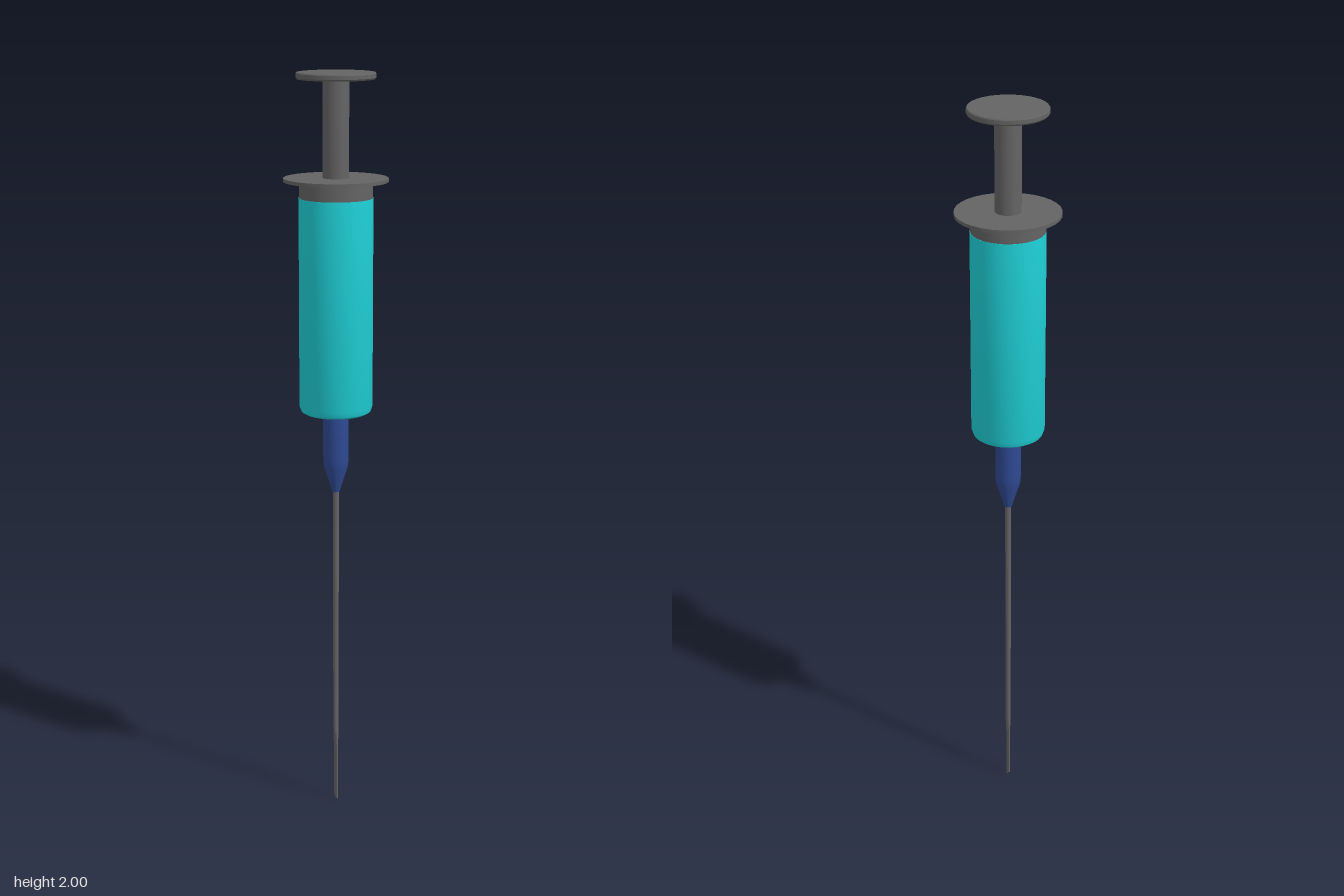
import * as THREE from 'three';
import { toCreasedNormals } from 'three/addons/utils/BufferGeometryUtils.js';

const GREY = 0x646464, TEAL = 0x1fd3da, BLUE = 0x2f4a94;

export function createModel() {
  const model = new THREE.Group();
  model.name = 'syringe';

  const add = (name, geometry, color) => {
    const mesh = new THREE.Mesh(
      toCreasedNormals(geometry, 0.5),
      new THREE.MeshStandardMaterial({ color })
    );
    mesh.name = name;
    model.add(mesh);
  };

  // Turned part from [radius, y] pairs, listed bottom to top
  const turned = (name, profile, color) =>
    add(name, new THREE.LatheGeometry(profile.map(([r, y]) => new THREE.Vector2(r, y)), 32), color);

  // Plunger: thumb pad and rod
  turned('thumbPad', [[0, 1.983], [0.1, 1.983], [0.103, 1.987], [0.103, 1.997], [0.101, 2], [0, 2]], GREY);
  turned('plungerRod', [[0.034, 1.73], [0.034, 1.985]], GREY);

  // Finger flange and the collar below it
  turned('fingerFlange', [[0, 1.724], [0.136, 1.724], [0.136, 1.733], [0, 1.733]], GREY);
  turned('collar', [[0.096, 1.68], [0.096, 1.726]], GREY);

  // Barrel with a rounded lower edge
  turned('barrel', [[0, 1.114], [0.084, 1.114], [0.092, 1.119], [0.097, 1.134], [0.097, 1.682], [0, 1.682]], TEAL);

  // Needle hub tapering to the needle
  turned('needleHub', [[0, 0.895], [0.01, 0.895], [0.014, 0.91], [0.032, 0.965], [0.034, 0.985], [0.034, 1.116]], BLUE);

  // Needle, flattened front to back near its slanted tip
  const needle = new THREE.CylinderGeometry(0.008, 0.007, 0.9, 16, 18);
  needle.translate(0, 0.45, 0);
  const p = needle.attributes.position;
  for (let i = 0; i < p.count; i++) {
    const y = p.getY(i);
    if (y < 0.16) p.setZ(i, p.getZ(i) * 0.45);
    if (y < 0.001) p.setY(i, 0.007 - p.getX(i));
  }
  add('needle', needle, GREY);

  return model;
}
